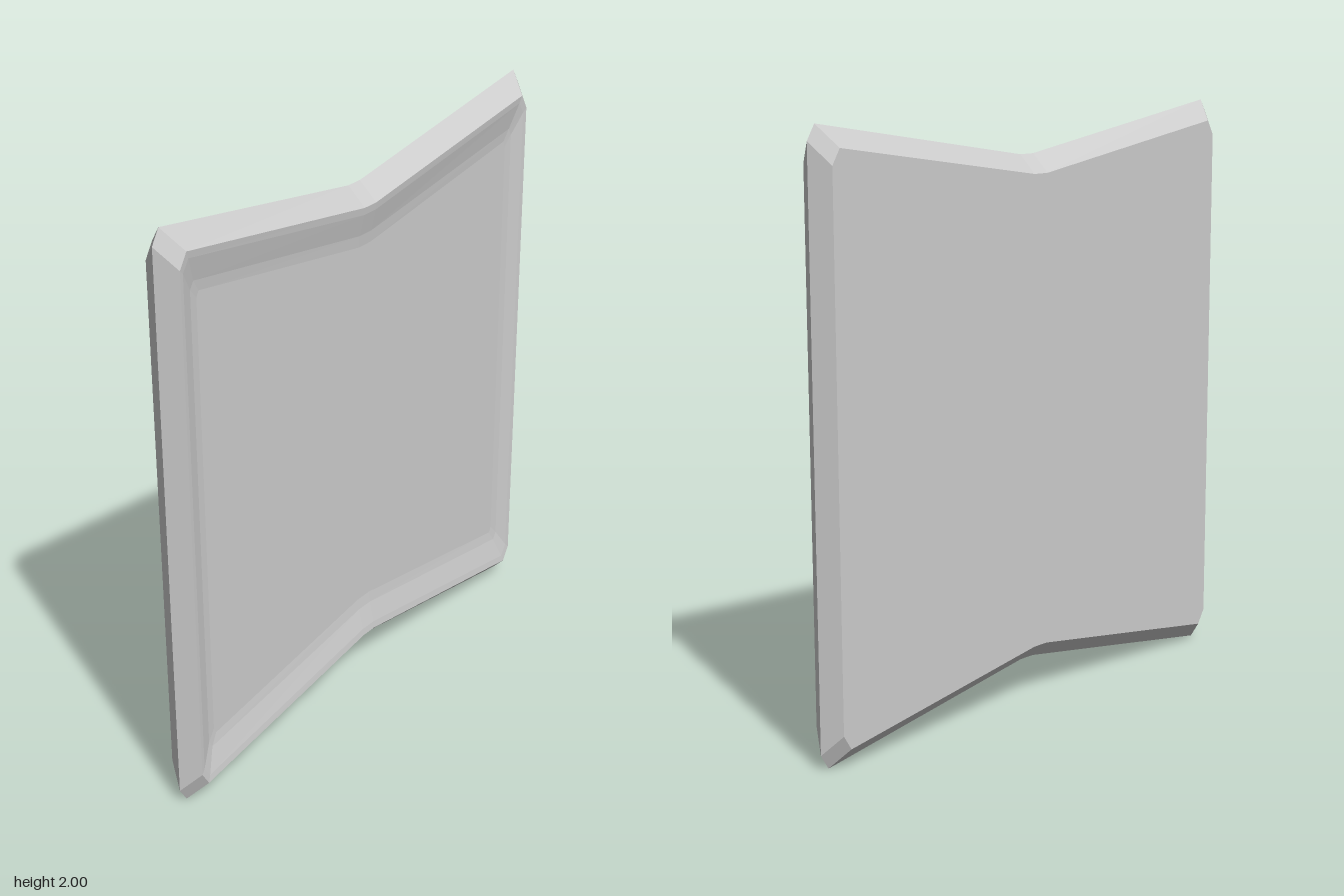
import * as THREE from 'three';

// Closed 12-point outline at depth x, mirrored from one quadrant (heights measured from y = 1)
function outline([x, yMid, zCorner, yCorner, zSide, ySide]) {
  const q = [[zSide, ySide - 1], [zCorner, yCorner - 1], [0.03, yMid - 1]];
  const upper = [...q, ...q.map(([z, y]) => [-z, y]).reverse()];
  const lower = upper.map(([z, y]) => [-z, -y]);
  return [...upper, ...lower].map(([z, y]) => new THREE.Vector3(x, y + 1, z));
}

// Skin consecutive outlines with quads
function loft(sections) {
  const pos = [];
  const loops = sections.map(outline);
  for (let s = 0; s < loops.length - 1; s++) {
    const a = loops[s], b = loops[s + 1], n = a.length;
    for (let i = 0; i < n; i++) {
      const j = (i + 1) % n;
      for (const p of [a[i], b[i], a[j], a[j], b[i], b[j]]) pos.push(p.x, p.y, p.z);
    }
  }
  const geo = new THREE.BufferGeometry();
  geo.setAttribute('position', new THREE.Float32BufferAttribute(pos, 3));
  geo.computeVertexNormals();
  return geo;
}

export function createModel() {
  const group = new THREE.Group();
  group.name = 'panel';
  const material = new THREE.MeshStandardMaterial({ color: 0xcccccc, flatShading: true });

  // Bevelled plate: flat back, sharp outer edge
  const back = [-0.065, 1.8, 0.86, 1.93, 0.89, 1.88];
  const edge = [0, 1.86, 0.9, 2, 0.93, 1.95];
  const rim = [0.065, 1.8, 0.86, 1.93, 0.89, 1.88];
  const plate = new THREE.Mesh(loft([[-0.065, 1, 0.86, 1, 0.89, 1], back, edge, rim]), material);
  plate.name = 'bevelledPlate';

  // Shallow dish inside the rim, closed by its floor
  const dish = new THREE.Mesh(loft([
    rim,
    [0.062, 1.775, 0.85, 1.905, 0.875, 1.865],
    [0.045, 1.7, 0.815, 1.82, 0.83, 1.795],
    [0.041, 1.66, 0.79, 1.78, 0.8, 1.76],
    [0.041, 1, 0.79, 1, 0.8, 1],
  ]), material);
  dish.name = 'recessedFace';

  group.add(plate, dish);
  return group;
}
